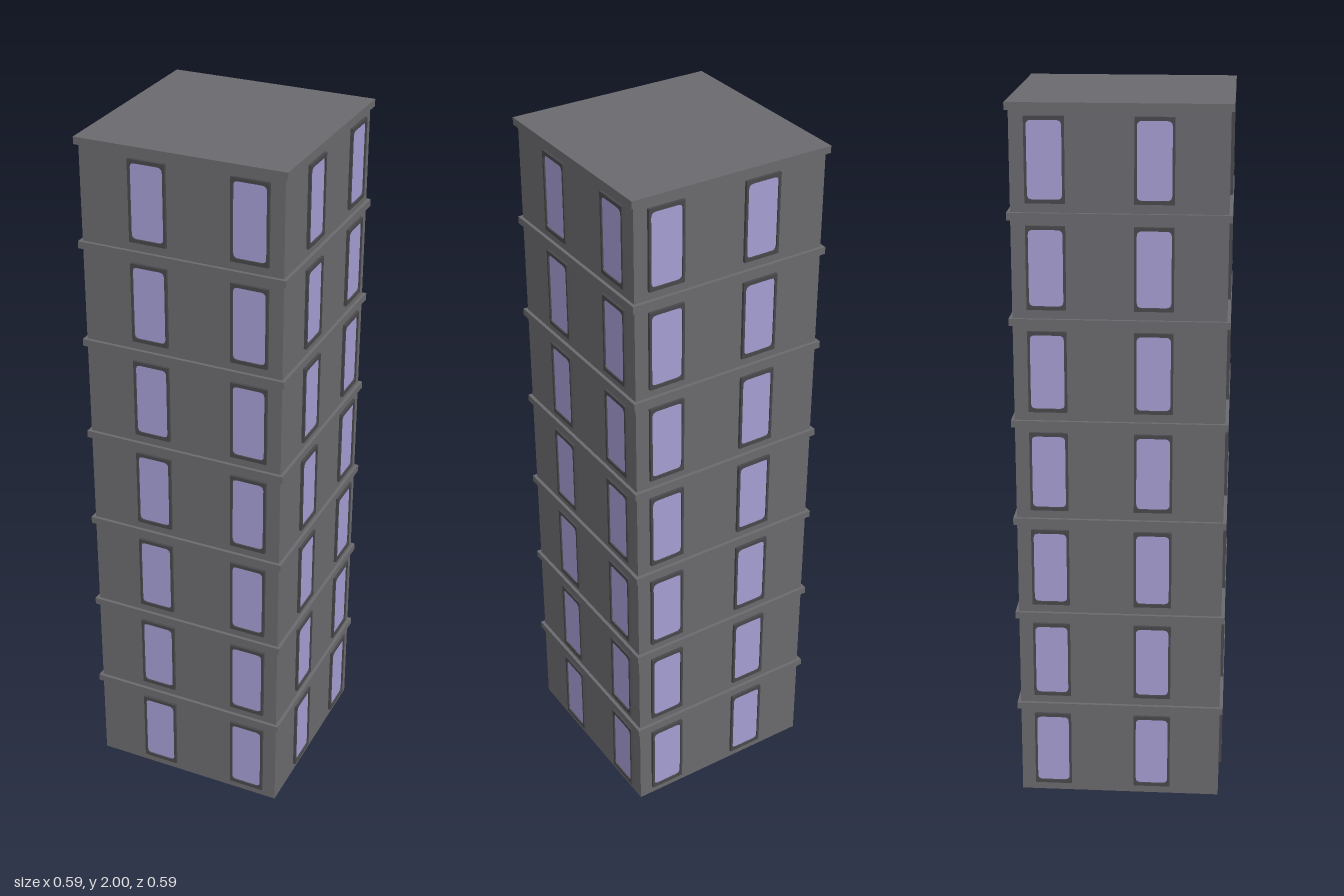
import * as THREE from 'three';

const FLOORS = 7, STOREY = 2 / FLOORS, HALF = 0.286;

// rounded rectangle traced into a Shape or Path
function roundedRect(path, w, h, r) {
  const x = w / 2, y = h / 2;
  path.moveTo(-x + r, -y);
  path.lineTo(x - r, -y);
  path.quadraticCurveTo(x, -y, x, -y + r);
  path.lineTo(x, y - r);
  path.quadraticCurveTo(x, y, x - r, y);
  path.lineTo(-x + r, y);
  path.quadraticCurveTo(-x, y, -x, y - r);
  path.lineTo(-x, -y + r);
  path.quadraticCurveTo(-x, -y, -x + r, -y);
  return path;
}

export function createModel() {
  const wall = new THREE.MeshStandardMaterial({ name: 'wallGrey', color: 0x6a696d });
  const trim = new THREE.MeshStandardMaterial({ name: 'frameDarkGrey', color: 0x48474b });
  const pane = new THREE.MeshStandardMaterial({ name: 'paneLilac', color: 0xa49dd2 });

  const tower = new THREE.Group();
  tower.name = 'tower';

  const add = (parent, name, geometry, material, x, y, z) => {
    const mesh = new THREE.Mesh(geometry, material);
    mesh.name = name;
    mesh.position.set(x, y, z);
    parent.add(mesh);
  };

  // window pieces shared by every storey
  const outline = new THREE.Shape([
    new THREE.Vector2(-0.0525, -0.113), new THREE.Vector2(0.0525, -0.113),
    new THREE.Vector2(0.0525, 0.113), new THREE.Vector2(-0.0525, 0.113),
  ]);
  outline.holes.push(roundedRect(new THREE.Path(), 0.092, 0.206, 0.014));
  const frameGeo = new THREE.ExtrudeGeometry(outline, { depth: 0.008, bevelEnabled: false, curveSegments: 4 });
  const glassGeo = new THREE.BoxGeometry(0.098, 0.212, 0.004);

  const wallGeo = new THREE.BoxGeometry(HALF * 2, STOREY, HALF * 2);
  const ledgeGeo = new THREE.BoxGeometry(0.591, 0.02, 0.591);

  for (let i = 0; i < FLOORS; i++) {
    const storey = new THREE.Group();
    storey.name = 'storey' + (i + 1);
    storey.position.y = i * STOREY;
    tower.add(storey);

    const wallHeight = STOREY - (i === FLOORS - 1 ? 0.01 : 0);
    add(storey, 'walls', wallHeight === STOREY ? wallGeo : new THREE.BoxGeometry(HALF * 2, wallHeight, HALF * 2),
      wall, 0, wallHeight / 2, 0);
    add(storey, i === FLOORS - 1 ? 'roofSlab' : 'ledge', ledgeGeo, wall, 0, STOREY - 0.01, 0);

    // two off-centre windows per side; opposite sides line up
    for (let side = 0; side < 4; side++) {
      const facade = new THREE.Group();
      facade.name = ['front', 'right', 'back', 'left'][side] + 'Windows';
      facade.rotation.y = side * Math.PI / 2;
      storey.add(facade);
      const flip = side < 2 ? 1 : -1;
      for (const x of [-0.092, 0.194]) {
        add(facade, 'windowFrame', frameGeo, trim, x * flip, 0.138, HALF);
        add(facade, 'windowPane', glassGeo, pane, x * flip, 0.138, HALF + 0.002);
      }
    }
  }
  return tower;
}
